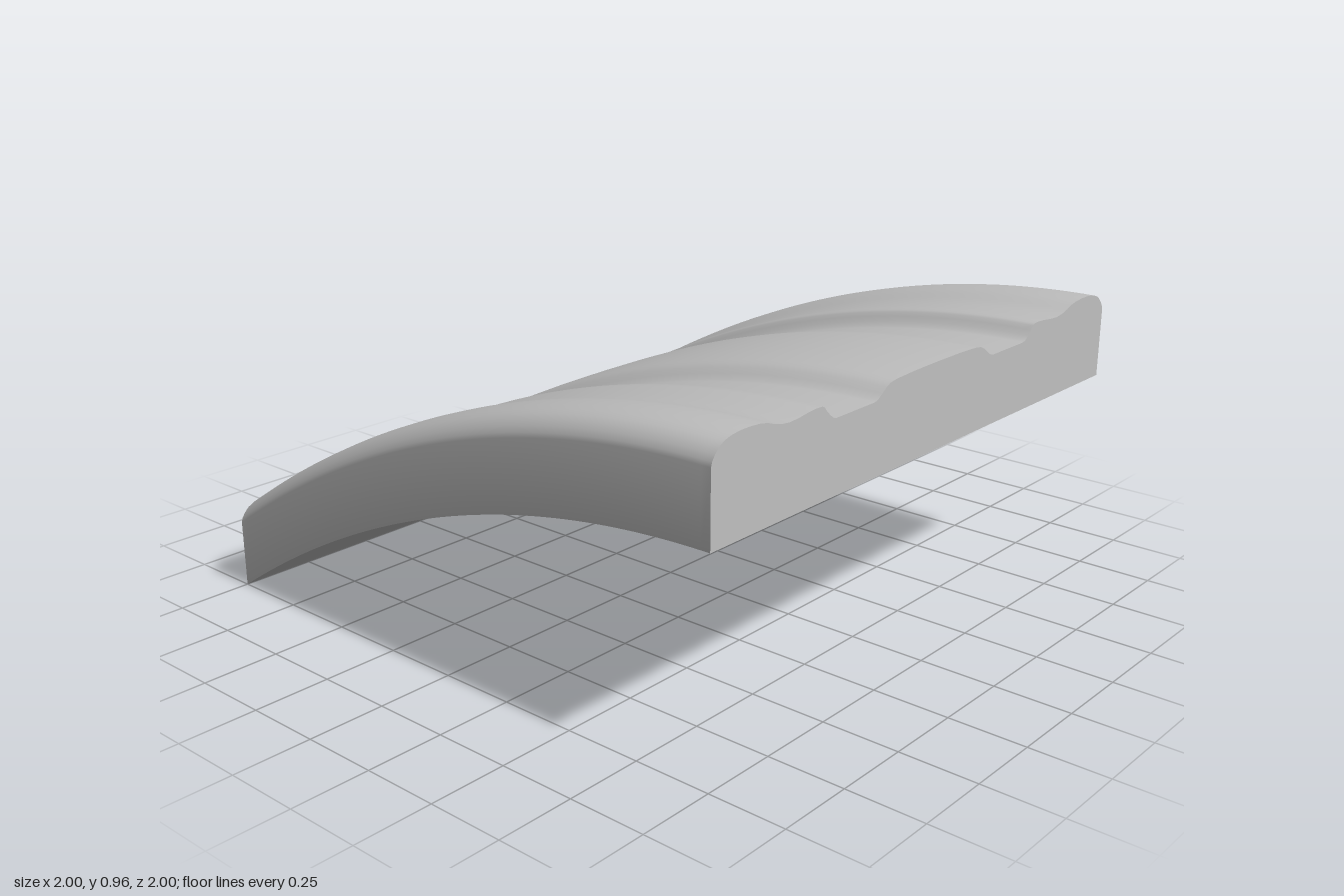
import * as THREE from 'three';
import { toCreasedNormals } from 'three/addons/utils/BufferGeometryUtils.js';

const RISE = 0.67;

// Half of the moulded face from the outer edge to the middle: [distance from centre, height]
const halfProfile = [
  [1, 0.222], [0.996, 0.236], [0.985, 0.252], [0.97, 0.267], [0.95, 0.278], [0.925, 0.285],
  [0.89, 0.289], [0.85, 0.289], [0.81, 0.286], [0.78, 0.28], [0.755, 0.271], [0.725, 0.263],
  [0.69, 0.259], [0.65, 0.261], [0.61, 0.266], [0.575, 0.268], [0.55, 0.267], [0.54, 0.262],
  [0.53, 0.25], [0.515, 0.236], [0.5, 0.224], [0.485, 0.22], [0.31, 0.22], [0.295, 0.223],
  [0.275, 0.236], [0.255, 0.25], [0.235, 0.259], [0.205, 0.263], [0.12, 0.266], [0, 0.267],
];

export function createModel() {
  const group = new THREE.Group();
  group.name = 'archMoulding';
  const stone = new THREE.MeshStandardMaterial({ color: 0xc0c0c0 });
  stone.name = 'light grey';

  // Symmetrical section with a flat underside
  const mirrored = halfProfile.slice(0, -1).reverse().map(([d, h]) => [-d, h]);
  const section = [[-1, 0], [1, 0], ...halfProfile, ...mirrored];
  const shape = new THREE.Shape(section.map(([d, h]) => new THREE.Vector2(d, h)));

  // Sweep along x, then lift each slice onto the arch curve
  const geometry = new THREE.ExtrudeGeometry(shape, { depth: 2, steps: 64, bevelEnabled: false });
  geometry.rotateY(Math.PI / 2);
  geometry.translate(-1, 0, 0);
  const pos = geometry.attributes.position;
  for (let i = 0; i < pos.count; i++) {
    const t = (1 - pos.getX(i)) / 2;
    pos.setY(i, pos.getY(i) + RISE * (1 - t * t));
  }

  const moulding = new THREE.Mesh(toCreasedNormals(geometry, 0.75), stone);
  moulding.name = 'curvedMoulding';
  group.add(moulding);
  return group;
}
